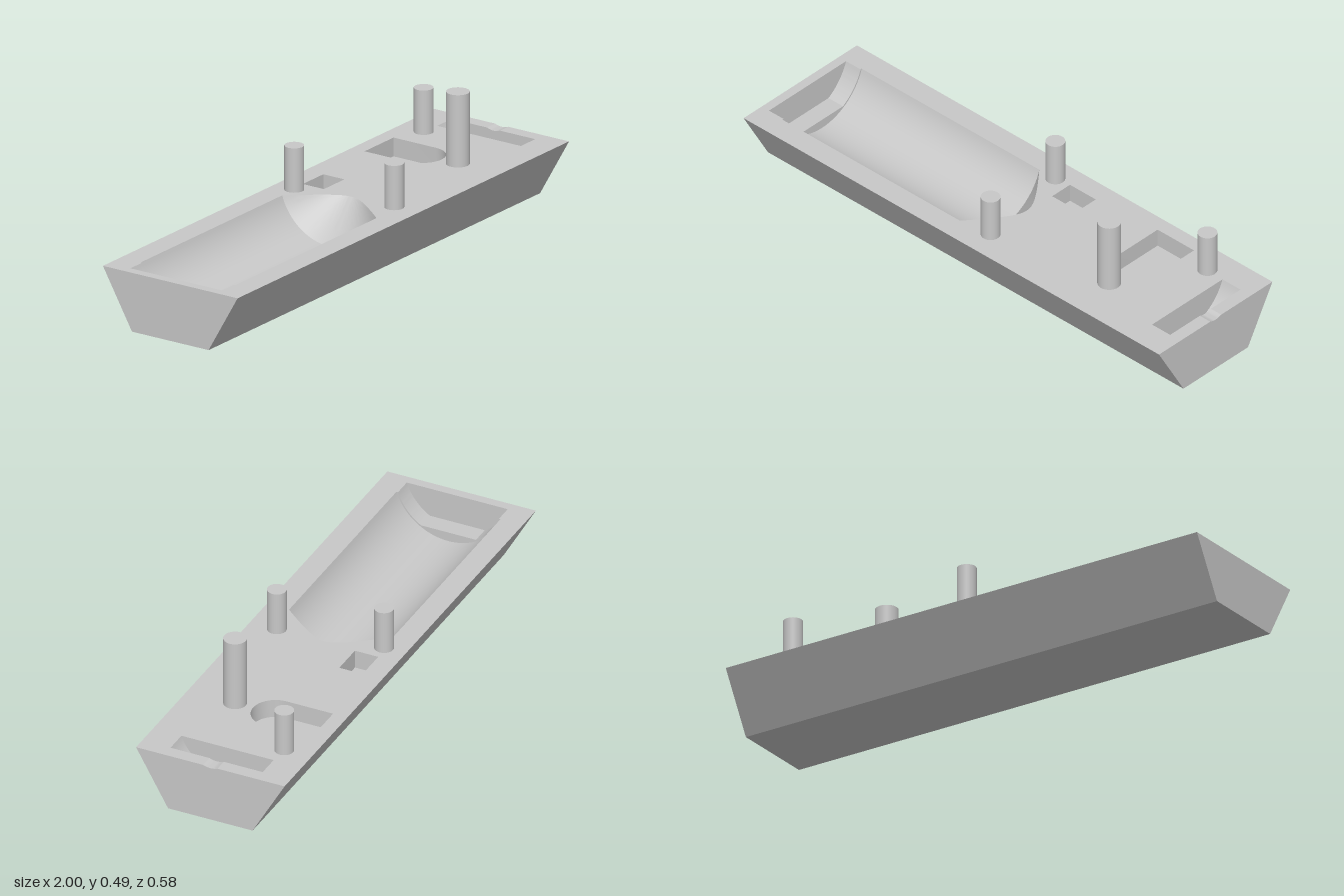
import * as THREE from 'three';
import { toCreasedNormals } from 'three/addons/utils/BufferGeometryUtils.js';

const TOP = 0.219;    // deck height
const AXIS = 0.065;   // height of the round recesses' shared axis above the deck
const DEPTH = 0.07;   // pocket depth

export function createModel() {
  const model = new THREE.Group();
  model.name = 'tray';
  const grey = new THREE.MeshStandardMaterial({ color: 0xc8c8c8, side: THREE.DoubleSide });
  grey.name = 'grey';

  const add = (name, geo) => {
    const mesh = new THREE.Mesh(geo, grey);
    mesh.name = name;
    model.add(mesh);
  };

  // skin over matching rows of points
  const loft = (name, rows) => {
    const n = rows[0].length, index = [];
    for (let j = 0; j < rows.length - 1; j++) {
      for (let i = 0; i < n - 1; i++) {
        const a = j * n + i, b = a + n;
        index.push(a, b, b + 1, a, b + 1, a + 1);
      }
    }
    const geo = new THREE.BufferGeometry();
    geo.setAttribute('position', new THREE.Float32BufferAttribute(rows.flat(2), 3));
    geo.setIndex(index);
    add(name, toCreasedNormals(geo, 0.5));
  };

  // a [z, y] profile swept along x
  const place = (profile, x) => profile.map(([z, y]) => [x, y, z]);
  const trough = (name, profile, x0, x1) => loft(name, [place(profile, x0), place(profile, x1)]);

  // flat wall across the x axis, facing +x (dir 1) or -x (dir -1)
  const wall = (name, profile, x, dir) => {
    const shape = new THREE.Shape(profile.map(([z, y]) => new THREE.Vector2(-dir * z, y)));
    add(name, new THREE.ShapeGeometry(shape).rotateY(dir * Math.PI / 2).translate(x, 0, 0));
  };

  // arc about the shared axis, cut off by the deck at z = w and z = -w
  const arc = (w, n) => Array.from({ length: n + 1 }, (_, i) => {
    const r = Math.hypot(w, AXIS), a = Math.atan2(w, AXIS) * (2 * i / n - 1);
    return [-r * Math.sin(a), TOP + AXIS - r * Math.cos(a)];
  });

  // cross-sections
  const W = 0.203, H = 0.197, D = 0.18, N = 0.028;
  const round = arc(W, 40);
  const flatBottom = arc(H, 60).filter(([z]) => Math.abs(z) > 0.1);
  const disc = arc(D, 36);
  const notch = arc(N, 8);
  const hull = [[-0.29, TOP], [-0.165, 0], [0.165, 0], [0.29, TOP]];

  // outer hull and its two ends
  trough('hull', hull, -1, 1);
  wall('leftEnd', hull, -1, -1);
  wall('rightEnd', [...hull, ...notch], 1, 1);

  // large cradle: flat-bottomed end, round barrel
  const xEnd = -0.965, xRound = -0.895, xTip = -0.04, xPoint = 0.09;
  trough('endRecess', flatBottom, xEnd, xRound);
  wall('endRecessWall', flatBottom, xEnd, 1);
  trough('barrelRecess', round, xRound, xTip);
  wall('barrelStep', [...round, ...[...flatBottom].reverse()], xRound, 1);

  // conical tip of the cradle, as [x, half width at the deck]
  const R = Math.hypot(W, AXIS);
  const tip = Array.from({ length: 15 }, (_, i) => {
    const s = (1 - i / 14) ** 2, r = AXIS + (R - AXIS) * s;
    return [xPoint + (xTip - xPoint) * s, Math.sqrt(Math.max(0, r * r - AXIS * AXIS))];
  });
  loft('tipRecess', tip.map(([x, w]) => place(arc(w, 40), x)));

  // round slot with a shallow notch to the end
  const x0 = 0.863, x1 = 0.95;
  trough('discSlot', disc, x0, x1);
  wall('discSlotInner', disc, x0, 1);
  wall('discSlotOuter', [...disc, ...[...notch].reverse()], x1, -1);
  trough('shaftNotch', notch, x1, 1);

  // pocket outlines, in x and -z
  const pocketSquare = [[0.098, 0.122], [0.222, 0.122], [0.222, 0.213], [0.098, 0.213]];
  const pocketRound = [[0.675, 0.234], [0.5, 0.234]];
  for (let i = 0; i <= 24; i++) {
    const a = Math.PI + (Math.PI * i) / 24;
    pocketRound.push([0.5875 + 0.0875 * Math.cos(a), 0.052 + 0.0875 * Math.sin(a)]);
  }
  const vectors = (loop) => loop.map(([x, v]) => new THREE.Vector2(x, v));
  const flat = (shape, y) => new THREE.ShapeGeometry(shape).rotateX(-Math.PI / 2).translate(0, y, 0);

  [['squarePocket', pocketSquare], ['roundedPocket', pocketRound]].forEach(([name, loop]) => {
    const row = (y) => [...loop, loop[0]].map(([x, v]) => [x, y, -v]);
    loft(name + 'Walls', [row(TOP - DEPTH), row(TOP)]);
    add(name + 'Floor', flat(new THREE.Shape(vectors(loop)), TOP - DEPTH));
  });

  // top deck with all openings
  const deck = new THREE.Shape(vectors([
    [-1, -0.29], [1, -0.29], [1, -N], [x1, -N], [x1, -D], [x0, -D],
    [x0, D], [x1, D], [x1, N], [1, N], [1, 0.29], [-1, 0.29],
  ]));
  const cradle = [
    [xEnd, -H], [xRound, -H], [xRound, -W],
    ...tip.map(([x, w]) => [x, -w]),
    ...[...tip].reverse().slice(1),
    [xRound, W], [xRound, H], [xEnd, H],
  ];
  [cradle, pocketSquare, pocketRound].forEach((loop) => deck.holes.push(new THREE.Path(vectors(loop))));
  add('deck', flat(deck, TOP));

  // upright pegs: x, z, radius, height above the deck
  [
    [0.035, -0.205, 0.035, 0.165],
    [0.091, 0.186, 0.035, 0.165],
    [0.787, -0.184, 0.035, 0.165],
    [0.587, 0.106, 0.042, 0.269],
  ].forEach(([x, z, r, h]) => {
    add('peg', new THREE.CylinderGeometry(r, r, h, 32).translate(x, TOP + h / 2, z));
  });

  return model;
}
